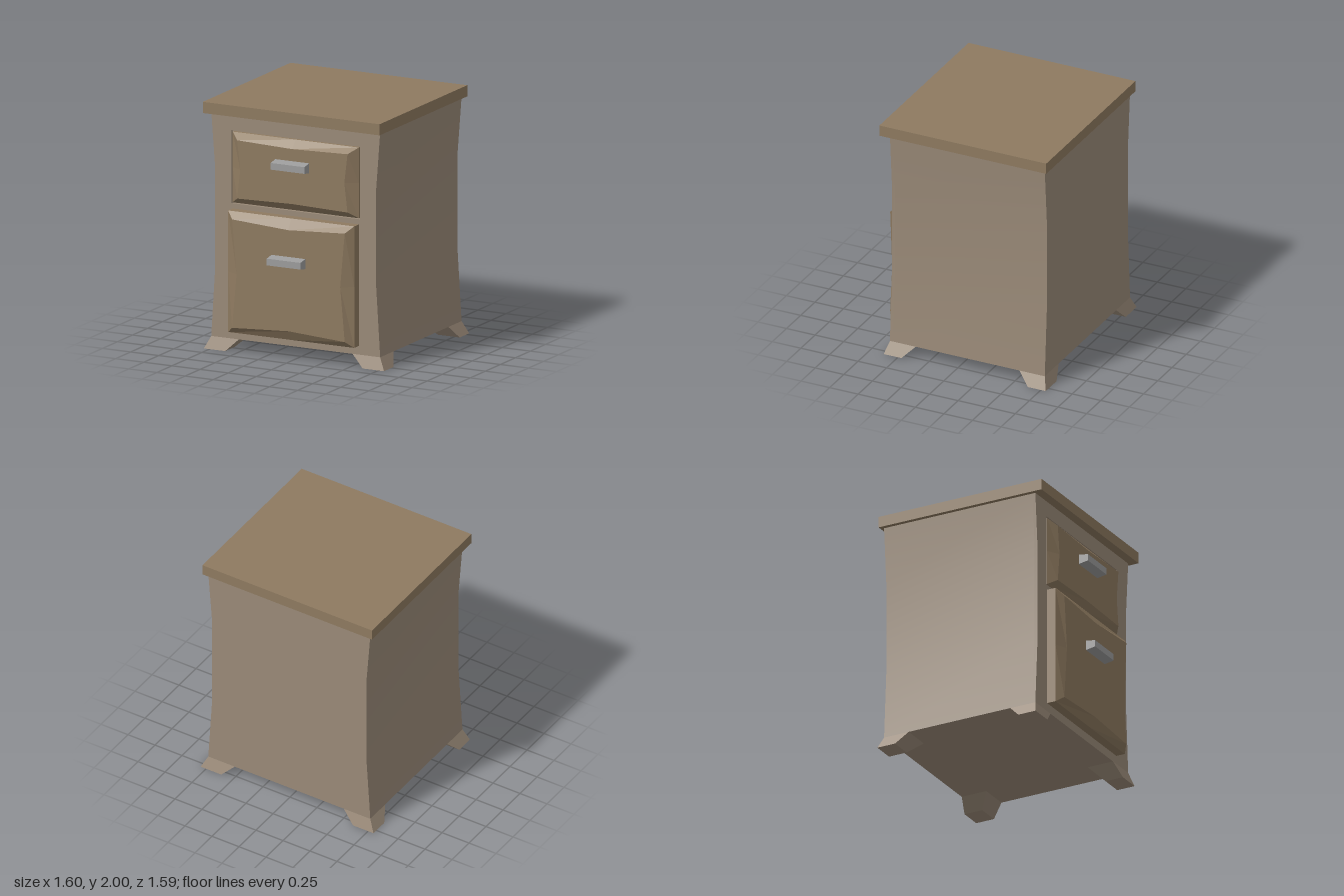
import * as THREE from 'three';
import { toCreasedNormals } from 'three/addons/utils/BufferGeometryUtils.js';

const mat = (color) => new THREE.MeshStandardMaterial({ color });

// Closed flat-shaded solid through rings of points (counter-clockwise seen from the end)
function loft(rings) {
  const pos = [];
  const n = rings[0].length;
  const tri = (...pts) => pts.forEach((p) => pos.push(...p));
  const centre = (r) => [0, 1, 2].map((k) => r.reduce((s, p) => s + p[k], 0) / n);
  const first = rings[0], last = rings[rings.length - 1];
  const c0 = centre(first), c1 = centre(last);
  for (let j = 0; j < n; j++) {
    const k = (j + 1) % n;
    for (let i = 0; i + 1 < rings.length; i++) {
      const a = rings[i], b = rings[i + 1];
      tri(a[j], a[k], b[k]);
      tri(a[j], b[k], b[j]);
    }
    tri(c0, first[k], first[j]);
    tri(c1, last[j], last[k]);
  }
  const g = new THREE.BufferGeometry();
  g.setAttribute('position', new THREE.Float32BufferAttribute(pos, 3));
  g.computeVertexNormals();
  return g;
}

// Eight-point rectangle at depth z; the edge midpoints can be pulled inward
function panelRing(w, y0, y1, z, pullX = 0, pullTop = 0, pullBottom = 0) {
  const m = (y0 + y1) / 2;
  return [
    [-w, y0, z], [0, y0 + pullBottom, z], [w, y0, z], [w - pullX, m, z],
    [w, y1, z], [0, y1 - pullTop, z], [-w, y1, z], [-w + pullX, m, z],
  ];
}

// Horizontal rectangle at height y, used for the feet
function footRing(xa, xb, za, zb, y) {
  const [x0, x1] = [Math.min(xa, xb), Math.max(xa, xb)];
  const [z0, z1] = [Math.min(za, zb), Math.max(za, zb)];
  return [[x0, y, z1], [x1, y, z1], [x1, y, z0], [x0, y, z0]];
}

// Waisted front outline of the cabinet
function bodyShape() {
  const side = [[0.75, 0.1], [0.715, 0.66], [0.715, 1.46], [0.75, 1.91]];
  const outline = [...side, ...side.map(([x, y]) => [-x, y]).reverse()];
  return new THREE.Shape(outline.map(([x, y]) => new THREE.Vector2(x, y)));
}

export function createModel() {
  const group = new THREE.Group();
  const bodyMat = mat(0x9a8a78);
  const woodMat = mat(0x8e7a60);
  const metalMat = mat(0x9c9c9c);
  const add = (name, geometry, material) => {
    const mesh = new THREE.Mesh(geometry, material);
    mesh.name = name;
    group.add(mesh);
    return mesh;
  };
  const slab = (shape, z, depth) => toCreasedNormals(
    new THREE.ExtrudeGeometry(shape, { depth, bevelEnabled: false }).translate(0, 0, z), 0.4);

  // Cabinet body, with a front frame cut out around the upper drawer
  add('cabinetBody', slab(bodyShape(), -0.76, 1.33), bodyMat);
  const frame = bodyShape();
  frame.holes.push(new THREE.Path([
    new THREE.Vector2(-0.57, 1.192), new THREE.Vector2(-0.57, 1.78),
    new THREE.Vector2(0.57, 1.78), new THREE.Vector2(0.57, 1.192),
  ]));
  add('frontFrame', slab(frame, 0.57, 0.025), bodyMat);

  // Table top
  add('top', new THREE.BoxGeometry(1.57, 0.09, 1.46), woodMat).position.set(0, 1.955, -0.06);

  // Drawer fronts with bowed bevels
  add('upperDrawer', loft([
    panelRing(0.56, 1.2, 1.77, 0.57),
    panelRing(0.56, 1.2, 1.77, 0.595),
    panelRing(0.49, 1.25, 1.72, 0.652, 0.028, 0.015, 0.012),
  ]), woodMat);
  add('lowerDrawer', loft([
    panelRing(0.56, 0.17, 1.15, 0.59),
    panelRing(0.56, 0.17, 1.15, 0.67),
    panelRing(0.5, 0.22, 1.095, 0.717, 0.04, 0.03, 0.03),
  ]), woodMat);

  // Tapered bar handles
  for (const [name, y, z] of [['upperHandle', 1.567, 0.65], ['lowerHandle', 0.809, 0.715]]) {
    const rect = (h, d) => [[-0.15, y - h, d], [0.15, y - h, d], [0.15, y + h, d], [-0.15, y + h, d]];
    add(name, loft([rect(0.041, z), rect(0.027, z + 0.083)]), metalMat);
  }

  // Splayed feet at the four corners
  for (const s of [1, -1]) {
    const sideName = s > 0 ? 'Left' : 'Right';
    add('front' + sideName + 'Foot', loft([
      footRing(s * 0.61, s * 0.8, 0.47, 0.625, 0),
      footRing(s * 0.505, s * 0.75, 0.37, 0.595, 0.1),
    ]), bodyMat);
    add('back' + sideName + 'Foot', loft([
      footRing(s * 0.61, s * 0.8, -0.635, -0.793, 0),
      footRing(s * 0.505, s * 0.75, -0.54, -0.76, 0.1),
    ]), bodyMat);
  }
  return group;
}
